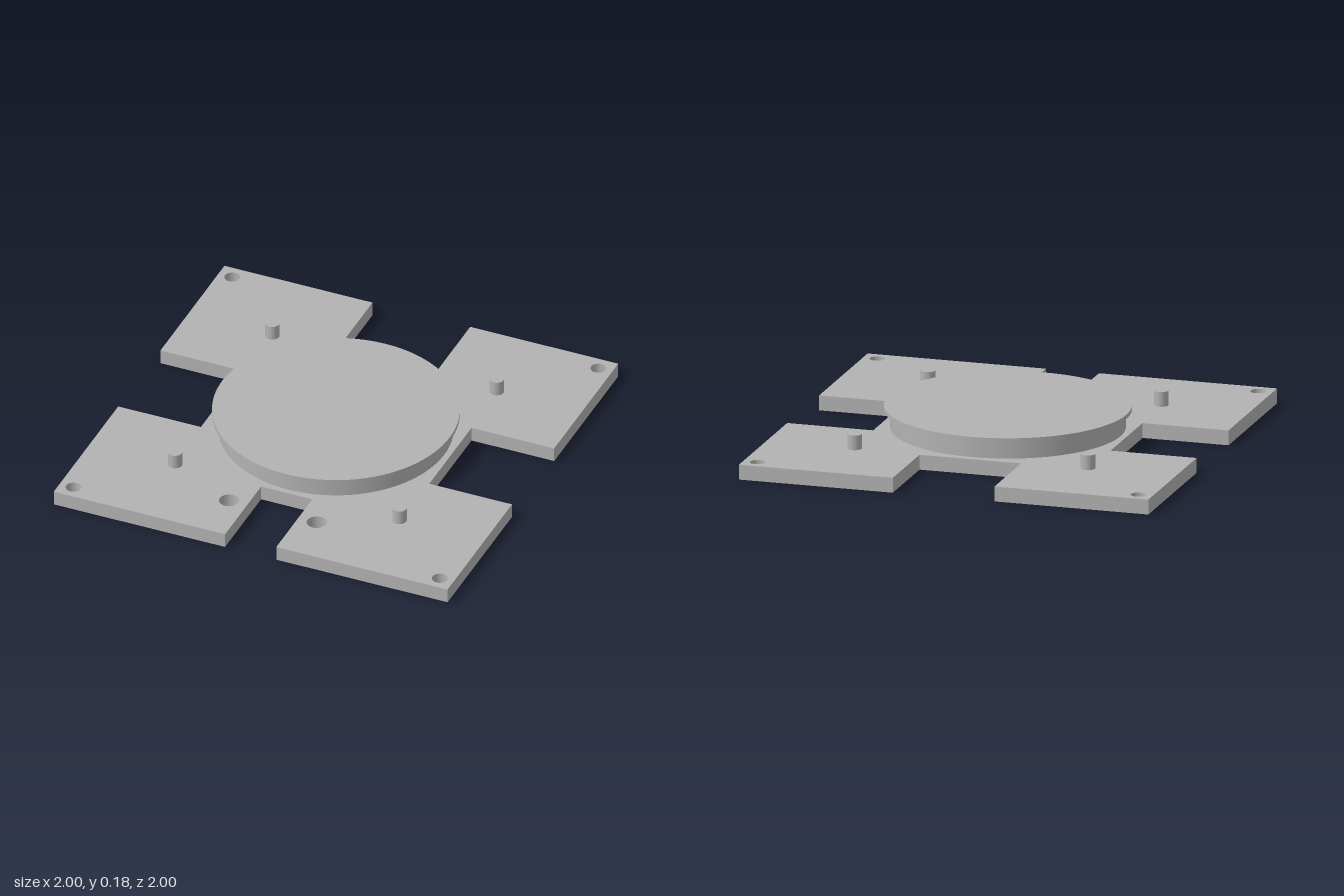
import * as THREE from 'three';

const PLATE = 0.072; // plate thickness

export function createModel() {
  const model = new THREE.Group();
  model.name = 'mountingPlate';
  const grey = new THREE.MeshStandardMaterial({ color: 0xb2b2b2 });
  grey.name = 'grey';

  function add(name, geometry, x = 0, y = 0, z = 0) {
    const mesh = new THREE.Mesh(geometry, grey);
    mesh.name = name;
    mesh.position.set(x, y, z);
    model.add(mesh);
  }

  // Upright cylinder resting on height y0
  function post(name, radius, y0, y1, segments, x = 0, z = 0) {
    const geometry = new THREE.CylinderGeometry(radius, radius, y1 - y0, segments);
    add(name, geometry, x, (y0 + y1) / 2, z);
  }

  // Square base with a notch in each side; outline y is -z
  const outline = [
    [-1, -1], [-0.13, -1], [-0.13, -0.578], [0.13, -0.578], [0.13, -1], [1, -1],
    [1, -0.245], [0.58, -0.245], [0.58, 0.25], [1, 0.25], [1, 1],
    [0.248, 1], [0.248, 0.585], [-0.248, 0.585], [-0.248, 1], [-1, 1],
    [-1, 0.25], [-0.58, 0.25], [-0.58, -0.245], [-1, -0.245],
  ];
  const shape = new THREE.Shape(outline.map(([x, y]) => new THREE.Vector2(x, y)));

  // Corner screw holes and the larger pair beside the front notch
  function hole(x, z, radius) {
    const path = new THREE.Path();
    path.absarc(x, -z, radius, 0, Math.PI * 2, true);
    shape.holes.push(path);
  }
  for (const sx of [-1, 1]) {
    for (const sz of [-1, 1]) hole(sx * 0.93, sz * 0.93, 0.037);
    hole(sx * 0.223, 0.74, 0.047);
  }
  const plate = new THREE.ExtrudeGeometry(shape, { depth: PLATE, bevelEnabled: false, curveSegments: 24 });
  plate.rotateX(-Math.PI / 2);
  add('basePlate', plate);

  // Central drum with an overhanging rim disc
  post('drum', 0.55, PLATE, 0.158, 96);
  post('rimDisc', 0.578, 0.157, 0.178, 96);

  // Four locating pegs around the drum
  for (const sx of [-1, 1]) {
    for (const sz of [-1, 1]) post('peg', 0.034, PLATE, 0.143, 32, sx * 0.57, sz * 0.57);
  }
  return model;
}
